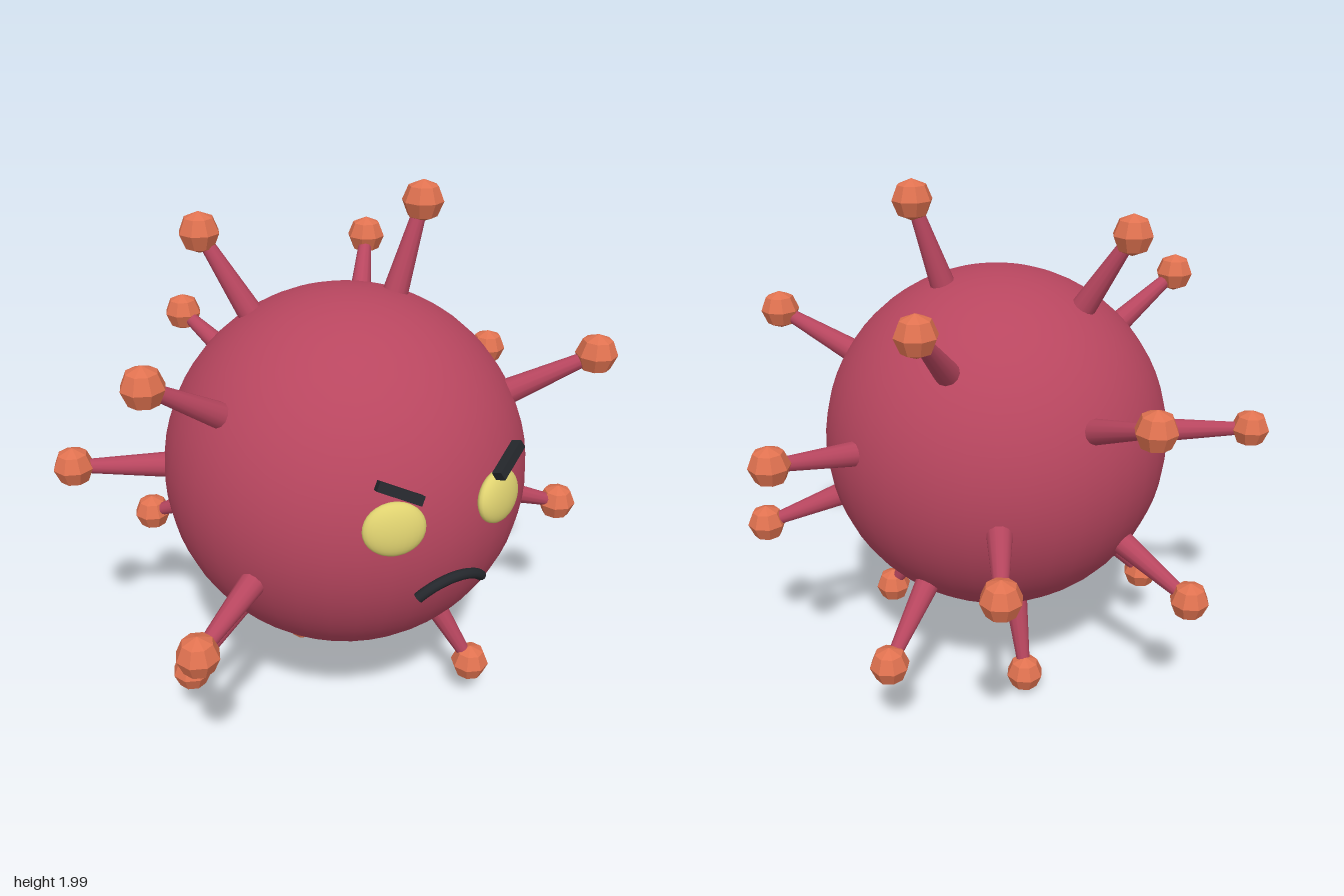
import * as THREE from 'three';

const CENTER = new THREE.Vector3(0, 1.003, 0.145);
const BODY_RADIUS = 0.655;
const SPIKE_LENGTH = 0.972;

function material(name, color, flatShading = false) {
  const m = new THREE.MeshStandardMaterial({ color, flatShading });
  m.name = name;
  return m;
}

function mesh(name, geometry, mat) {
  const m = new THREE.Mesh(geometry, mat);
  m.name = name;
  return m;
}

// Place a part at an offset from the body centre, its +z facing outward
function faceOutward(part, x, y, z) {
  const offset = new THREE.Vector3(x, y, z);
  part.position.copy(CENTER).add(offset);
  part.lookAt(offset.multiplyScalar(2).add(CENTER));
  return part;
}

export function createModel() {
  const group = new THREE.Group();
  group.name = 'angryVirus';
  const red = material('crimson', 0xb8465f);
  const orange = material('orange', 0xe07250, true);
  const yellow = material('yellow', 0xdfd270);
  const black = material('charcoal', 0x24272c);

  // Body
  const body = mesh('body', new THREE.SphereGeometry(BODY_RADIUS, 40, 32), red);
  body.position.copy(CENTER);
  group.add(body);

  // Spikes spread on a golden-angle spiral, leaving the face clear
  const count = 20;
  const goldenAngle = Math.PI * (3 - Math.sqrt(5));
  const base = 0.6;
  const stalkGeo = new THREE.CylinderGeometry(0.022, 0.049, SPIKE_LENGTH - base, 12);
  const tipGeo = new THREE.SphereGeometry(0.073, 8, 4);
  const up = new THREE.Vector3(0, 1, 0);
  for (let i = 0; i < count; i++) {
    const y = 1 - (2 * (i + 0.5)) / count;
    const r = Math.sqrt(1 - y * y);
    const a = i * goldenAngle;
    const dir = new THREE.Vector3(Math.cos(a) * r, y, -Math.sin(a) * r);
    if (dir.z > 0.6) continue;
    const stalk = mesh('spikeStalk', stalkGeo, red);
    stalk.position.copy(CENTER).addScaledVector(dir, (base + SPIKE_LENGTH) / 2);
    stalk.quaternion.setFromUnitVectors(up, dir);
    const tip = mesh('spikeTip', tipGeo, orange);
    tip.position.copy(CENTER).addScaledVector(dir, SPIKE_LENGTH);
    group.add(stalk, tip);
  }

  // Eyes and slanted brows
  for (const side of [-1, 1]) {
    const label = side > 0 ? 'left' : 'right';
    const eye = mesh(label + 'Eye', new THREE.SphereGeometry(1, 24, 16), yellow);
    eye.scale.set(0.104, 0.09, 0.037);
    group.add(faceOutward(eye, side * 0.203, 0.11, 0.63));

    const brow = mesh(label + 'Brow', new THREE.BoxGeometry(0.15, 0.032, 0.036), black);
    faceOutward(brow, side * 0.208, 0.255, 0.66);
    brow.rotateZ(side * 0.42);
    group.add(brow);
  }

  // Frowning mouth, an arc with capped ends
  const half = 0.83;
  const arcRadius = 0.172;
  const tube = 0.018;
  const mouth = new THREE.Group();
  mouth.name = 'mouth';
  const arc = mesh('mouthArc', new THREE.TorusGeometry(arcRadius, tube, 10, 24, half * 2), black);
  arc.rotation.z = Math.PI / 2 - half;
  mouth.add(arc);
  for (const side of [-1, 1]) {
    const cap = mesh('mouthEnd', new THREE.CircleGeometry(tube, 10), black);
    cap.position.set(side * Math.sin(half) * arcRadius, Math.cos(half) * arcRadius, 0);
    cap.lookAt(cap.position.clone().add(new THREE.Vector3(side * Math.cos(half), -Math.sin(half), 0)));
    mouth.add(cap);
  }
  group.add(faceOutward(mouth, 0, -0.262, 0.622));

  return group;
}
